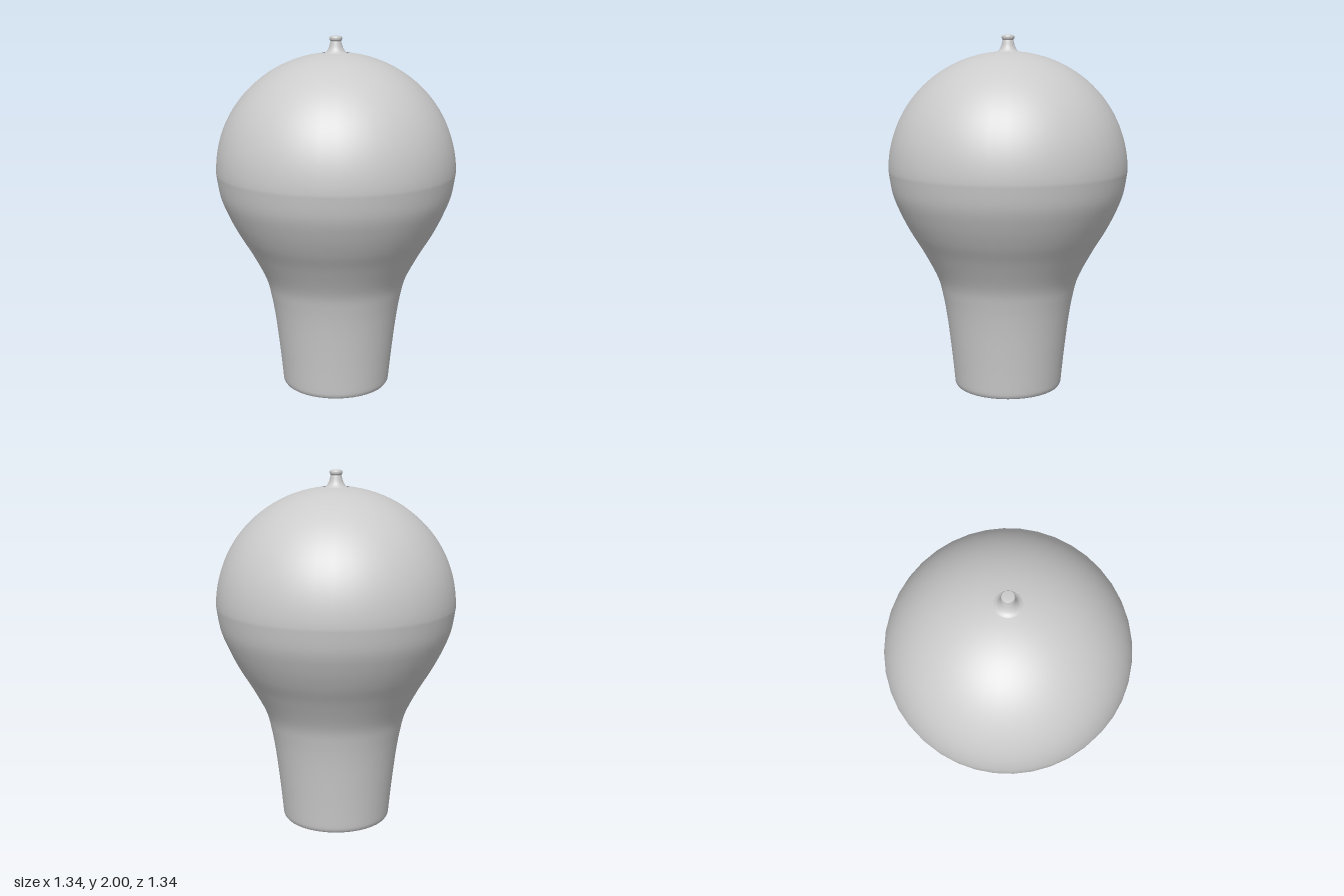
import * as THREE from 'three';

const SEGMENTS = 40;
const material = new THREE.MeshStandardMaterial({ color: 0xcccccc, side: THREE.DoubleSide });
const toPoints = (list) => list.map(([r, y]) => new THREE.Vector2(r, y));
const smooth = (list, n) => new THREE.SplineCurve(toPoints(list)).getPoints(n);

function lathe(name, points, segments = SEGMENTS) {
  const mesh = new THREE.Mesh(new THREE.LatheGeometry(points, segments), material);
  mesh.name = name;
  return mesh;
}

export function createModel() {
  const model = new THREE.Group();
  model.name = 'bulb';

  // Glass body: neck and shoulder, then an elliptical dome
  const neck = smooth([
    [0.308, 0.03], [0.325, 0.2], [0.349, 0.4], [0.373, 0.54], [0.404, 0.65],
    [0.483, 0.8], [0.55, 0.91], [0.606, 1.02], [0.648, 1.13], [0.67, 1.26],
  ], 48);
  const dome = [];
  for (let i = 1; i <= 24; i++) {
    const a = (i / 24) * 1.46;
    dome.push(new THREE.Vector2(0.67 * Math.cos(a), 1.26 + 0.652 * Math.sin(a)));
  }
  const lip = toPoints([[0.285, 0], [0.297, 0.004], [0.305, 0.015]]);
  model.add(lathe('glassBody', [...lip, ...neck, ...dome]));

  // Sealed tip on the crown: flared foot, narrow waist and small knob
  model.add(lathe('tip', smooth([
    [0.074, 1.903], [0.055, 1.913], [0.04, 1.935], [0.031, 1.965], [0.029, 1.972],
    [0.034, 1.979], [0.035, 1.99], [0.031, 1.998],
  ], 28)));
  model.add(lathe('tipCap', toPoints([[0.031, 1.998], [0.02, 2], [0, 2]])));

  // Underside ring and the recess that rises into the neck
  model.add(lathe('bottomRing', toPoints([[0.195, 0], [0.285, 0]])));
  model.add(lathe('recessWall', toPoints([[0.195, 0.6], [0.195, 0]])));
  model.add(lathe('recessTop', toPoints([[0, 0.6], [0.195, 0.6]])));

  // Open stem tube inside the recess with a thin centre rod
  model.add(lathe('stemTube', toPoints([[0.112, 0.03], [0.112, 0.6]])));
  const rod = new THREE.Mesh(new THREE.CylinderGeometry(0.008, 0.008, 0.59, 12), material);
  rod.name = 'centreRod';
  rod.position.y = 0.305;
  model.add(rod);

  return model;
}
